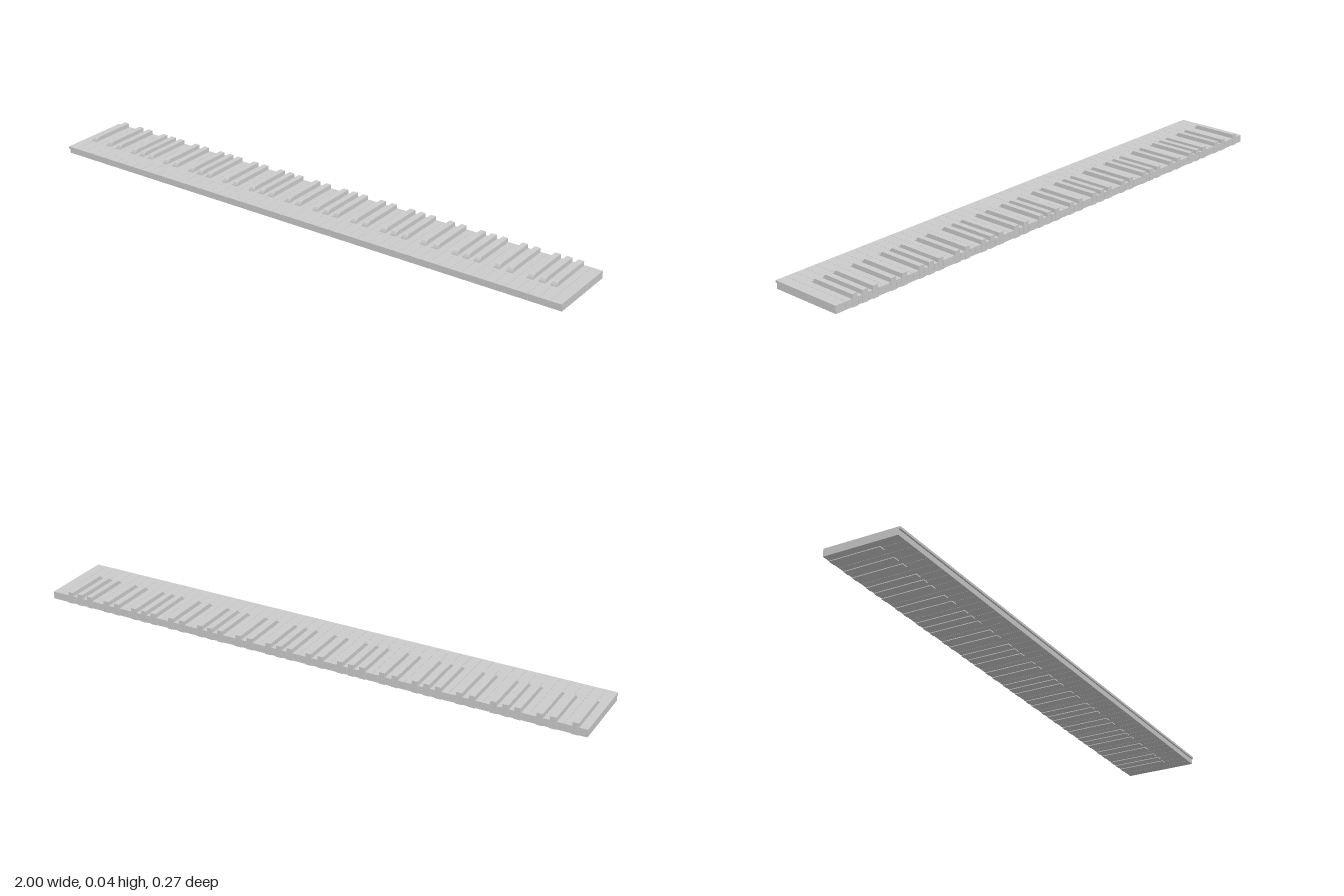
import * as THREE from 'three';

const WHITE_COUNT = 52;
const PITCH = 2 / WHITE_COUNT;
const GAP = 0.0008;
const BACK = -0.133, FRONT = 0.127, LIP_FRONT = 0.133;
const WHITE_BOTTOM = 0.002, WHITE_TOP = 0.0285, BLACK_TOP = 0.042;
const NOTCH_FRONT = 0.046, BLACK_WIDTH = 0.023;

// Sideways shift of the black key right of each natural, A to G (null: no black key)
const SHIFT = [0.002, null, -0.003, 0.003, null, -0.002, 0];

// Centre of the black key at the boundary after white key i, or null
function blackCentre(i) {
  if (i < 0 || i >= WHITE_COUNT - 1 || SHIFT[i % 7] === null) return null;
  return -1 + (i + 1) * PITCH + SHIFT[i % 7];
}

// White key: plan outline with notches beside its black neighbours
function whiteKeyGeometry(i) {
  const x0 = -1 + i * PITCH + (i > 0 ? GAP / 2 : 0);
  const x1 = -1 + (i + 1) * PITCH - (i < WHITE_COUNT - 1 ? GAP / 2 : 0);
  const before = blackCentre(i - 1), after = blackCentre(i);
  const clear = BLACK_WIDTH / 2 + GAP;
  const points = [[x0, FRONT], [x1, FRONT]];
  if (after !== null) points.push([x1, NOTCH_FRONT], [after - clear, NOTCH_FRONT], [after - clear, BACK]);
  else points.push([x1, BACK]);
  if (before !== null) points.push([before + clear, BACK], [before + clear, NOTCH_FRONT], [x0, NOTCH_FRONT]);
  else points.push([x0, BACK]);
  const shape = new THREE.Shape(points.map(([x, z]) => new THREE.Vector2(x, z)));
  const body = new THREE.ExtrudeGeometry(shape, { depth: WHITE_TOP - WHITE_BOTTOM, bevelEnabled: false });
  body.rotateX(Math.PI / 2).translate(0, WHITE_TOP, 0);

  // Overhanging front lip
  const lip = new THREE.BoxGeometry(x1 - x0, 0.008, LIP_FRONT - FRONT);
  lip.translate((x0 + x1) / 2, WHITE_TOP - 0.004, (LIP_FRONT + FRONT) / 2);
  return { body, lip };
}

// Black key: side profile with rounded nose, narrowing towards the top
function blackKeyGeometry() {
  const profile = [
    [0.045, 0], [0.039, WHITE_TOP], [0.037, 0.034], [0.034, 0.039],
    [0.029, BLACK_TOP], [BACK, BLACK_TOP], [BACK, 0],
  ];
  const shape = new THREE.Shape(profile.map(([z, y]) => new THREE.Vector2(z, y)));
  const geometry = new THREE.ExtrudeGeometry(shape, { depth: BLACK_WIDTH, bevelEnabled: false });
  geometry.translate(0, 0, -BLACK_WIDTH / 2).rotateY(-Math.PI / 2);
  const p = geometry.attributes.position;
  for (let i = 0; i < p.count; i++) p.setX(i, p.getX(i) * (1 - 0.14 * p.getY(i) / BLACK_TOP));
  geometry.computeVertexNormals();
  return geometry;
}

export function createModel() {
  const model = new THREE.Group();
  model.name = 'pianoKeyboard';
  const material = new THREE.MeshStandardMaterial({ color: 0xcccccc, flatShading: true });
  const whiteKeys = new THREE.Group();
  whiteKeys.name = 'whiteKeys';
  const blackKeys = new THREE.Group();
  blackKeys.name = 'blackKeys';
  model.add(whiteKeys, blackKeys);

  const add = (parent, name, geometry) => {
    const mesh = new THREE.Mesh(geometry, material);
    mesh.name = name;
    parent.add(mesh);
    return mesh;
  };

  const blackGeometry = blackKeyGeometry();
  for (let i = 0; i < WHITE_COUNT; i++) {
    const key = new THREE.Group();
    key.name = 'whiteKey';
    const { body, lip } = whiteKeyGeometry(i);
    add(key, 'keyBody', body);
    add(key, 'keyLip', lip);
    whiteKeys.add(key);

    const centre = blackCentre(i);
    if (centre !== null) add(blackKeys, 'blackKey', blackGeometry).position.x = centre;
  }
  return model;
}
